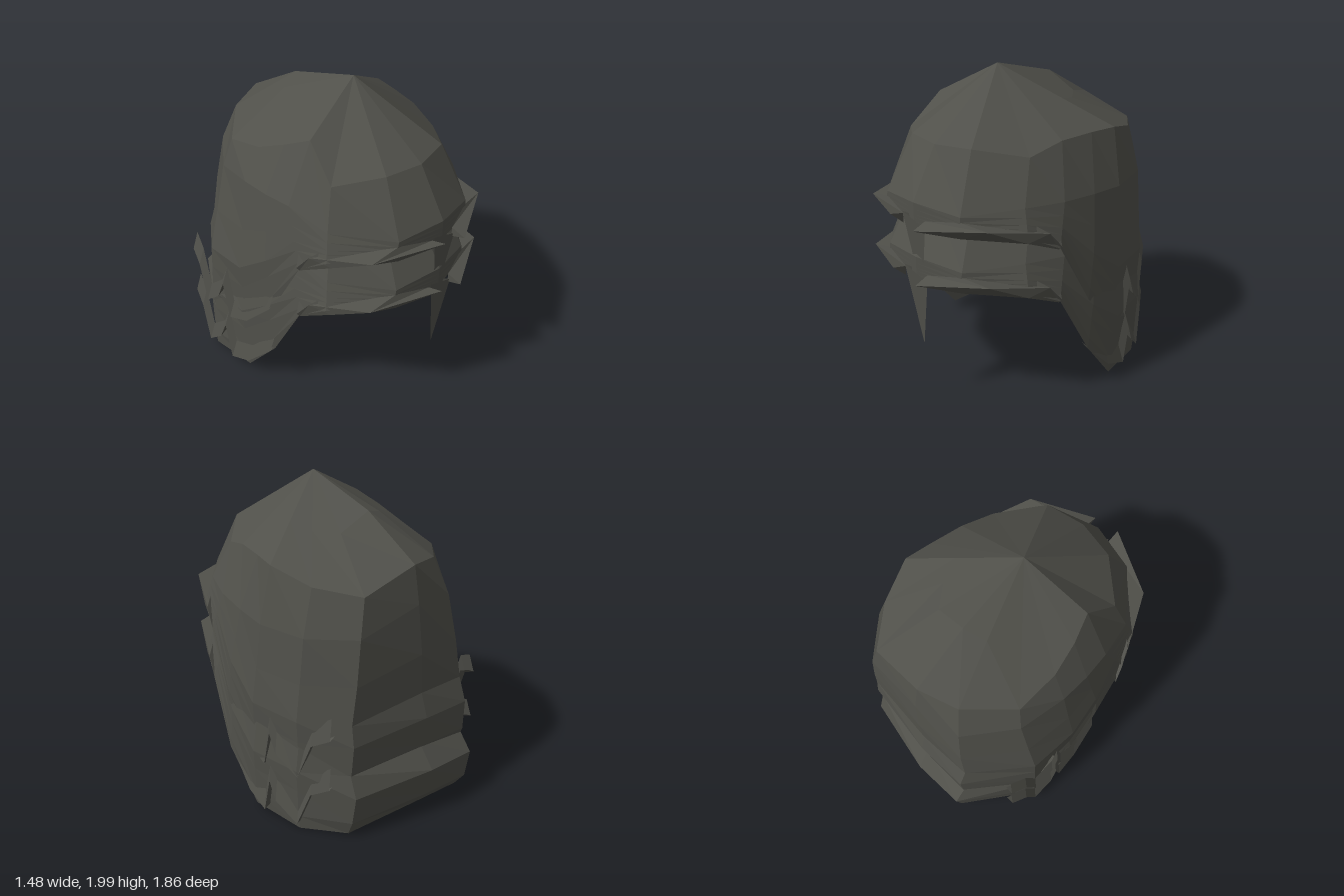
import * as THREE from 'three';

const V = (x, y, z) => new THREE.Vector3(x, y, z);
const hair = new THREE.MeshStandardMaterial({ color: 0x50504a, side: THREE.DoubleSide });
hair.name = 'charcoal hair';

// Outlines of the cap, from the front round by +x: x, y, z per column
const crown = [
  [0, 1.63, .66], [.24, 1.64, .61], [.46, 1.58, .37], [.52, 1.64, .16], [.57, 1.65, -.05], [.61, 1.65, -.22],
  [.53, 1.58, -.48], [.36, 1.55, -.72], [0, 1.65, -.74], [-.24, 1.61, -.66], [-.48, 1.56, -.42],
  [-.5, 1.62, -.15], [-.47, 1.7, .04], [-.42, 1.77, .2], [-.47, 1.58, .41], [-.24, 1.63, .61]];
const temple = [
  [0, 1.33, .84], [.3, 1.3, .77], [.53, 1.33, .49], [.62, 1.32, .25], [.66, 1.31, .02], [.68, 1.3, -.2],
  [.61, 1.3, -.5], [.41, 1.32, -.75], [0, 1.42, -.785], [-.3, 1.38, -.74], [-.53, 1.38, -.46],
  [-.6, 1.42, -.17], [-.61, 1.42, .02], [-.6, 1.42, .2], [-.55, 1.33, .46], [-.3, 1.3, .77]];
const hem = [
  [0, 1.2, .84], [.3, 1.2, .78], [.58, 1.17, .52], [.66, 1.07, .33], [.71, .67, .11], [.7, .37, -.14],
  [.64, .35, -.49], [.47, .37, -.74], [-.05, .38, -.8], [-.38, .37, -.82], [-.68, .36, -.48],
  [-.68, .38, -.14], [-.67, .67, .11], [-.65, 1.07, .33], [-.6, 1.17, .5], [-.32, 1.2, .77]];

// Faceted mesh from a list of triangles
function facets(name, points) {
  const g = new THREE.BufferGeometry().setFromPoints(points);
  g.computeVertexNormals();
  const mesh = new THREE.Mesh(g, hair);
  mesh.name = name;
  return mesh;
}

// Triangles between two rows of points
function strip(upper, lower, closed, out) {
  const n = upper.length;
  for (let i = 0; i < (closed ? n : n - 1); i++) {
    const j = (i + 1) % n;
    out.push(upper[i], lower[i], lower[j], upper[i], lower[j], upper[j]);
  }
  return out;
}

// Dome with long sides and back; the nape folds outwards above the hem
function cap(napeFold) {
  const [a, b, h] = [crown, temple, hem].map(r => r.map(p => V(...p)));
  const apex = V(0, 2, .13);
  // Domed ring over the middle of the rear crown
  const summit = a.map(p => {
    const q = apex.clone().lerp(p, .56);
    if (q.z < -.2) q.y += .06 * Math.max(0, 1 - Math.abs(q.x) * 3);
    return q;
  });
  const ring = (t, side, back) => b.map((p, i) => {
    const q = p.clone().lerp(h[i], t);
    const drop = Math.min(1, Math.max(0, p.y - h[i].y - .3) / .65);
    q.x *= 1 + side * drop * (q.x < 0 ? 1.6 : 1);
    if (q.z < -.6) q.z *= 1 + back * drop * (q.x < 0 ? 1 : .5);
    return q;
  });
  const out = [];
  summit.forEach((p, i) => out.push(apex, p, summit[(i + 1) % summit.length]));
  const rows = [summit, a, b, ring(.3, .03, .03), ring(.55, .06, .025), ring(.7, .04, napeFold), ring(.9, .02, napeFold * .6), h];
  for (let r = 0; r < rows.length - 1; r++) strip(rows[r], rows[r + 1], true, out);
  return facets('cap', out);
}

// Flared fringe: wedge running from the parting round to the side
function fringe(s, rise) {
  const top = [V(s * .09, 1.24, .84), V(s * .3, 1.27, .77), V(s * .52, 1.27, .5), V(s * .63, 1.18, .31)];
  const tip = [V(s * .09, 1.21 + rise, .935), V(s * .48, 1.25 - rise / 2, .735), V(s * .64, 1.18, .4), V(s * .665, 1.08, .32)];
  const low = [V(s * .09, 1.18, .84), V(s * .3, 1.17, .77), V(s * .58, 1.14, .52), V(s * .65, 1.06, .33)];
  const out = strip(top, tip, false, []);
  strip(tip, low, false, out);
  out.push(top[0], low[0], tip[0]);
  return facets(s > 0 ? 'leftFringe' : 'rightFringe', out);
}

// Pointed lock hanging between the brows
function forelock() {
  const base = [V(-.085, 1.26, .85), V(.1, 1.2, .85), V(.01, 1.22, .79)];
  const tip = V(.01, .74, .81);
  const out = [];
  base.forEach((p, i) => out.push(p, tip, base[(i + 1) % 3]));
  return facets('forelock', out);
}

// Jagged lock edges folded out along the sides: x, y, z
const jags = [[.7, .66, .1], [.725, .46, -.1], [.73, .4, -.26], [.725, .64, -.31],
  [.72, .52, -.36], [.67, .4, -.5], [.63, .64, -.58], [.57, .7, -.68]];
function sideLocks(s) {
  // The right side is fuller towards the nape
  const row = (dx, dy, dz) => jags.map(([x, y, z]) =>
    V(s * (x + dx + (s < 0 ? Math.max(0, -.3 - z) * .25 : 0)), y + dy, z + dz));
  const edge = row(0, 0, 0);
  const out = strip(row(-.03, .13, .02), edge, false, []);
  return facets(s > 0 ? 'leftLocks' : 'rightLocks', strip(edge, row(-.05, .03, 0), false, out));
}

function layer(name, napeFold) {
  const g = new THREE.Group();
  g.name = name;
  g.add(cap(napeFold), fringe(1, 0), fringe(-1, .055), forelock(), sideLocks(1), sideLocks(-1));
  return g;
}

export function createModel() {
  const model = new THREE.Group();
  model.name = 'layeredHair';
  const upper = layer('upperLayer', .08);
  // Same cut, set lower and slightly wider
  const lower = layer('lowerLayer', .165);
  lower.position.y = -.34;
  lower.scale.x = 1.012;
  model.add(upper, lower);
  return model;
}
